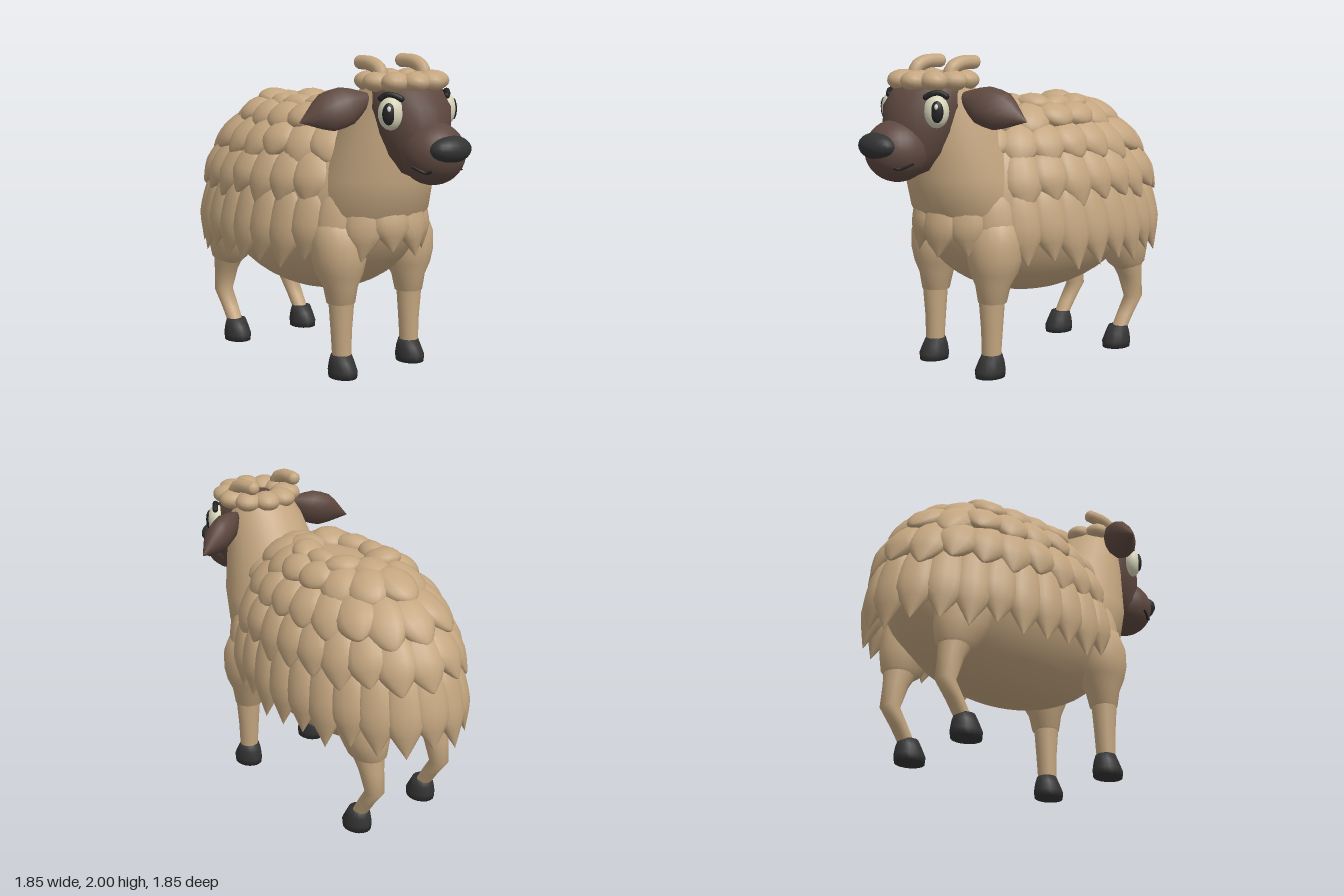
import * as THREE from 'three';
import { mergeVertices } from 'three/addons/utils/BufferGeometryUtils.js';

const mat = (name, color) => {
  const m = new THREE.MeshStandardMaterial({ color });
  m.name = name;
  return m;
};
const V = (x, y, z) => new THREE.Vector3(x, y, z);

export function createModel() {
  const wool = mat('tan wool', 0xc4a680), skin = mat('brown skin', 0x5e4840);
  const dark = mat('charcoal hoof', 0x333333), black = mat('black', 0x232222);
  const white = mat('cream eye', 0xd8d5ba), glint = mat('glint', 0xf4f4f0);

  const model = new THREE.Group();
  model.name = 'sheep';
  const sheep = new THREE.Group(); // built facing +z, then turned
  sheep.name = 'turnedSheep';
  sheep.rotation.y = Math.PI / 4;
  sheep.position.set(0.006, 0, -0.008);
  model.add(sheep);

  const add = (name, geo, material, parent = sheep) => {
    const m = new THREE.Mesh(geo, material);
    m.name = name;
    parent.add(m);
    return m;
  };
  const ball = (name, material, p, s, parent = sheep, seg = 20) => {
    const m = add(name, new THREE.SphereGeometry(1, seg, Math.round(seg * 0.7)), material, parent);
    m.position.set(...p);
    m.scale.set(...s);
    return m;
  };
  const smooth = (g) => {
    g.deleteAttribute('uv');
    g.deleteAttribute('normal');
    const merged = mergeVertices(g, 1e-5);
    merged.computeVertexNormals();
    return merged;
  };

  // Stack of ellipses, bottom to top: [y, centre z, radius x, radius z]
  const loft = (rings, cx = 0, seg = 18) => {
    const g = new THREE.LatheGeometry(rings.map((_, i) => new THREE.Vector2(1, i)), seg);
    const p = g.attributes.position;
    for (let i = 0; i < p.count; i++) {
      const [y, cz, rx, rz] = rings[Math.round(p.getY(i))];
      p.setXYZ(i, cx + p.getX(i) * rx, y, cz + p.getZ(i) * rz);
    }
    return smooth(g);
  };

  // Leaf-shaped lock from top to tip; point and root (0 to 1) sharpen its two ends
  const lock = (top, tip, out, w, d, point, root = 0) => {
    const g = new THREE.SphereGeometry(1, 12, 12);
    const p = g.attributes.position;
    for (let i = 0; i < p.count; i++) {
      const y = p.getY(i);
      const round = Math.max(Math.sqrt(1 - y * y), 0.001);
      const sharp = Math.min(round, 1.4 * (1 - Math.abs(y)));
      const k = 1 + (y < 0 ? point : root) * (sharp / round - 1);
      p.setX(i, p.getX(i) * k);
      p.setZ(i, p.getZ(i) * k);
    }
    const up = top.clone().sub(tip), h = up.length() / 2;
    up.normalize();
    const side = up.clone().cross(out).normalize();
    const n = side.clone().cross(up);
    g.scale(w, h, d);
    g.applyMatrix4(new THREE.Matrix4().makeBasis(side, up, n)
      .setPosition(top.clone().add(tip).multiplyScalar(0.5)));
    return smooth(g);
  };

  // Body and neck
  ball('body', wool, [0, 1.06, -0.12], [0.5, 0.62, 0.9], sheep, 36);
  add('neck', loft([
    [0.85, 0.36, 0.3, 0.3], [1.05, 0.42, 0.38, 0.38], [1.25, 0.49, 0.36, 0.36],
    [1.5, 0.56, 0.3, 0.3], [1.72, 0.63, 0.25, 0.24], [1.84, 0.68, 0.2, 0.2],
  ], 0, 28), wool);

  // Fleece: rows of overlapping locks, longer and sharper lower down
  const fleece = new THREE.Group();
  fleece.name = 'fleece';
  sheep.add(fleece);
  const profile = [[0.22, 1.665], [0.42, 1.65], [0.62, 1.53], [0.8, 1.35], [0.91, 1.1], [0.94, 0.67]];
  const counts = [9, 14, 19, 23, 26];
  const points = [0, 0.1, 0.35, 0.7, 1];
  const a = 0.56, c = 0.98;
  counts.forEach((n, row) => {
    const [s0, y0] = profile[row], [s1, y1] = profile[row + 1];
    const sm = (s0 + s1) / 2, phase = row * 0.21;
    const spots = new THREE.EllipseCurve(0, 0, a * sm, c * sm, phase, phase + Math.PI * 2).getSpacedPoints(n);
    const width = spots[0].distanceTo(spots[1]) * 0.72;
    spots.slice(0, n).forEach((q, i) => {
      const z = q.y - 0.15;
      if (z > (row < 2 ? 0.42 : 0.5) && row < 4) return; // the neck comes through here
      const front = row === 4 ? Math.max(0, z) * 0.16 : 0;
      const jitter = 0.025 * Math.sin(i * 2.4 + row * 1.7);
      const at = (s, y, push, out) => V(q.x * s / sm, y, q.y * s / sm - 0.15).addScaledVector(out, push);
      const flat = V(q.x / (a * a), 0, q.y / (c * c)).normalize();
      const out = flat.clone().multiplyScalar(Math.max(y0 - y1, 0.02))
        .add(V(0, (s1 - s0) * 0.75, 0)).normalize();
      const top = at(s0, y0 + 0.02, -0.03, out), tip = at(s1, y1 + front + jitter, 0.015, out);
      if (row > 1) tip.z -= 0.05 * Math.abs(flat.x); // flanks sweep to the rear
      const along = tip.clone().sub(top);
      top.addScaledVector(along, -0.2);
      tip.addScaledVector(along, row < 4 ? 0.13 : 0.03);
      add('woolLock', lock(top, tip, out, width, 0.07, points[row]), wool, fleece);
    });
  });

  // Legs and hooves
  for (const s of [1, -1]) {
    const x = s * 0.287;
    add('frontShin', loft([[0.12, 0.5, 0.06, 0.06], [0.3, 0.495, 0.068, 0.068], [0.49, 0.495, 0.082, 0.082]], x), wool);
    add('frontThigh', loft([
      [0.465, 0.49, 0.06, 0.06], [0.475, 0.49, 0.09, 0.09], [0.58, 0.485, 0.108, 0.112], [0.66, 0.475, 0.148, 0.152],
      [0.75, 0.47, 0.17, 0.175], [0.86, 0.465, 0.172, 0.177], [0.96, 0.45, 0.145, 0.15], [1.06, 0.42, 0.06, 0.07],
    ], x), wool);
    add('hindShin', loft([
      [0.12, -0.64, 0.052, 0.052], [0.22, -0.7, 0.056, 0.056], [0.33, -0.775, 0.062, 0.064],
      [0.48, -0.74, 0.08, 0.082], [0.6, -0.7, 0.1, 0.12],
    ], x), wool);
    add('hindThigh', loft([
      [0.53, -0.71, 0.07, 0.08], [0.58, -0.7, 0.11, 0.14], [0.7, -0.67, 0.15, 0.18],
      [0.85, -0.64, 0.16, 0.19], [1.0, -0.62, 0.12, 0.14], [1.08, -0.6, 0.04, 0.05],
    ], x), wool);
    for (const z of [0.495, -0.63]) {
      add('hoof', loft([
        [0, z + 0.015, 0.001, 0.001], [0.001, z + 0.015, 0.083, 0.1], [0.045, z + 0.015, 0.086, 0.105],
        [0.1, z + 0.005, 0.077, 0.085], [0.145, z, 0.065, 0.065], [0.146, z, 0.001, 0.001],
      ], x), dark);
    }
  }

  // Head, muzzle and nose
  add('head', loft([
    [1.26, 0.93, 0.02, 0.03], [1.31, 0.9, 0.12, 0.14], [1.42, 0.85, 0.185, 0.2], [1.55, 0.81, 0.225, 0.24],
    [1.7, 0.78, 0.245, 0.26], [1.8, 0.73, 0.22, 0.24], [1.85, 0.71, 0.16, 0.16], [1.87, 0.71, 0.001, 0.001],
  ], 0, 24), skin);
  ball('muzzle', skin, [0, 1.435, 0.99], [0.195, 0.19, 0.2], sheep, 24);
  ball('nose', dark, [0, 1.47, 1.135], [0.15, 0.083, 0.095], sheep, 20);

  // Ring of wool on the crown
  for (let i = 0; i < 10; i++) {
    const t = (i + 0.5) / 10 * Math.PI * 2;
    const b = ball('crownWool', wool, [0.19 * Math.sin(t), 1.85, 0.715 + 0.19 * Math.cos(t)],
      [0.088, 0.063, 0.1], sheep, 14);
    b.rotation.y = t;
  }

  for (const s of [1, -1]) {
    // Ear
    add('ear', lock(V(s * 0.19, 1.765, 0.67), V(s * 0.615, 1.615, 0.495),
      V(s * 0.25, 0.5, 0.8), 0.128, 0.088, 1, 0.8), skin);

    // Horn-like tuft curling back
    const path = new THREE.CatmullRomCurve3([
      V(s * 0.175, 1.86, 0.73), V(s * 0.175, 1.92, 0.71), V(s * 0.175, 1.952, 0.64), V(s * 0.17, 1.958, 0.53)]);
    add('tuft', new THREE.TubeGeometry(path, 10, 0.044, 10), wool);
    ball('tuftTip', wool, [s * 0.17, 1.958, 0.53], [0.044, 0.042, 0.035], sheep, 10);

    // Eye and brow, facing outward at an angle
    const eye = new THREE.Group();
    eye.name = 'eye';
    eye.position.set(s * 0.224, 1.675, 0.866);
    eye.rotation.y = s * Math.PI / 4;
    sheep.add(eye);
    ball('eyeWhite', white, [0, 0, 0], [0.077, 0.1, 0.064], eye);
    ball('pupil', black, [s * 0.01, 0, 0.049], [0.039, 0.065, 0.022], eye, 16);
    ball('glint', glint, [s * 0.008, 0.03, 0.066], [0.012, 0.018, 0.008], eye, 8);
    const brow = new THREE.CatmullRomCurve3([
      V(s * 0.06, 0.088, 0.0), V(s * 0.025, 0.108, 0.004), V(-s * 0.025, 0.102, 0.01), V(-s * 0.06, 0.085, 0.008)]);
    add('brow', new THREE.TubeGeometry(brow, 10, 0.019, 8), black, eye);
    for (const e of [0, 1]) ball('browEnd', black, brow.getPoint(e).toArray(), [0.019, 0.019, 0.019], eye, 8);

    // Half of the mouth, along the side of the muzzle
    const mouth = [[84, 1.372], [70, 1.352], [57, 1.338], [46, 1.35]].map(([deg, y]) => {
      const t = deg * Math.PI / 180, r = Math.sqrt(1 - ((y - 1.435) / 0.19) ** 2);
      return V(s * 0.197 * r * Math.sin(t), y, 0.99 + 0.202 * r * Math.cos(t));
    });
    add('mouth', new THREE.TubeGeometry(new THREE.CatmullRomCurve3(mouth), 12, 0.009, 6), black);
  }
  return model;
}
